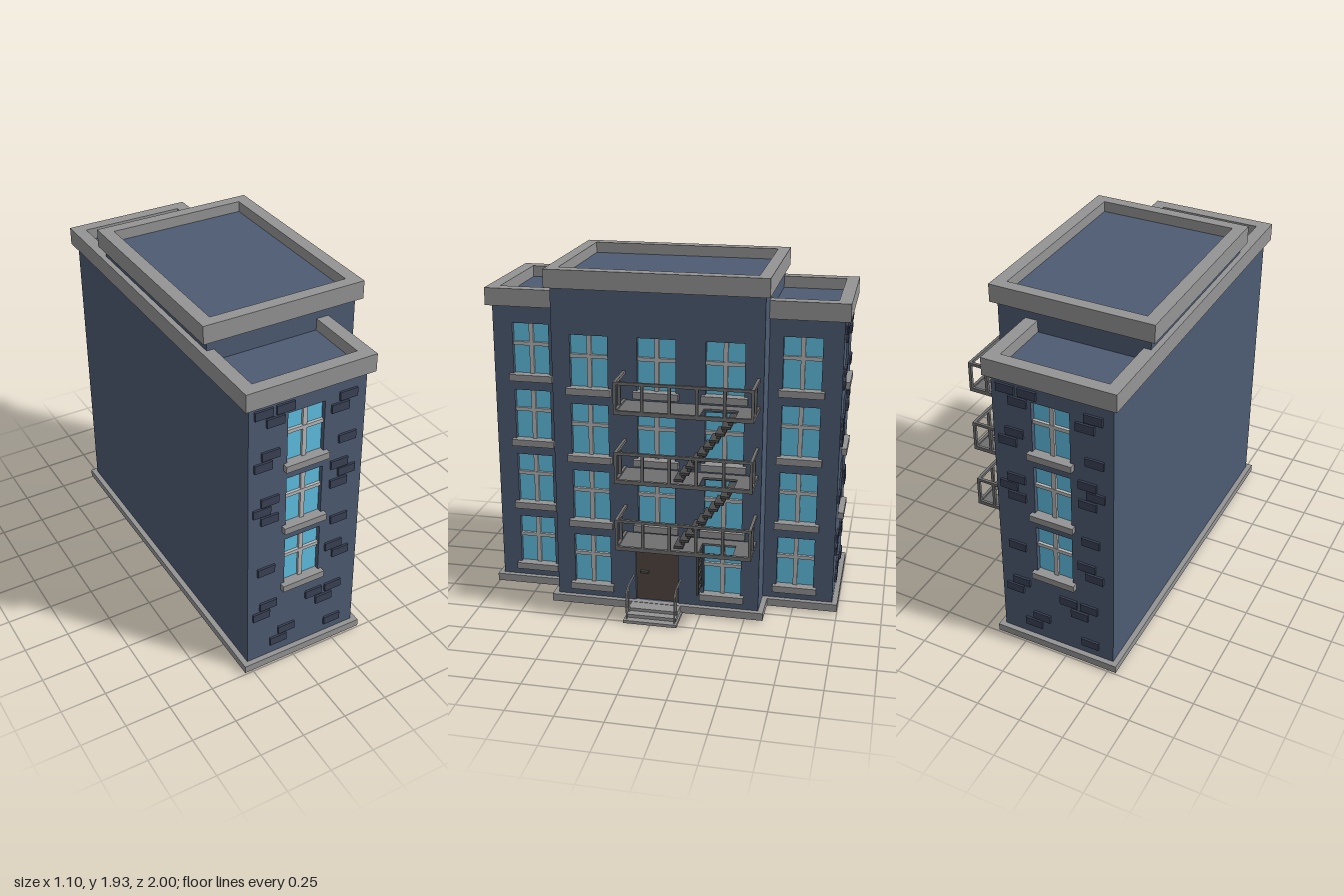
import * as THREE from 'three';

const mat = (color) => new THREE.MeshStandardMaterial({ color, flatShading: true });

export function createModel() {
  const model = new THREE.Group();
  const wall = mat(0x4d5b72), brick = mat(0x3a4256), glass = mat(0x60c0e4), door = mat(0x50453f);
  const trim = mat(0x949494), bars = mat(0xb8b8b8), iron = mat(0x707070), dark = mat(0x4c4c4c);

  const add = (parent, name, geometry, material) => {
    const mesh = new THREE.Mesh(geometry, material);
    mesh.name = name;
    parent.add(mesh);
    return mesh;
  };
  // Box given by its lower and upper limits on each axis
  const box = (parent, name, material, x0, x1, y0, y1, z0, z1) => {
    const mesh = add(parent, name, new THREE.BoxGeometry(x1 - x0, y1 - y0, z1 - z0), material);
    mesh.position.set((x0 + x1) / 2, (y0 + y1) / 2, (z0 + z1) / 2);
  };
  const outline = (path, points) => path.setFromPoints(points.map(([a, b]) => new THREE.Vector2(a, b)));
  const rect = (x0, x1, y0, y1) => [[x0, y0], [x1, y0], [x1, y1], [x0, y1]];
  // Horizontal slab with an opening, both outlines as [x, -z] points
  const ring = (parent, name, material, outer, inner, y0, y1) => {
    const shape = outline(new THREE.Shape(), outer);
    shape.holes.push(outline(new THREE.Path(), inner));
    const geo = new THREE.ExtrudeGeometry(shape, { depth: y1 - y0, bevelEnabled: false });
    geo.rotateX(-Math.PI / 2).translate(0, y0, 0);
    add(parent, name, geo, material);
  };
  // Round bar between two points
  const rod = (parent, name, a, b, r, material) => {
    const p = new THREE.Vector3(...a), q = new THREE.Vector3(...b);
    add(parent, name, new THREE.TubeGeometry(new THREE.LineCurve3(p, q), 1, r, 6), material);
  };

  // Facade: pierced wall layer, recessed glass, glazing bars and sills
  const RECESS = 0.03, W = 0.104, H = 0.293, BASE = 0.014;
  const MAIN_TOP = 1.835, WING_TOP = 1.682;
  const rowY = (row) => 0.134 + 0.385 * row;
  function facade(name, u0, u1, top, windows, doorway) {
    const group = new THREE.Group();
    group.name = name;
    const shape = outline(new THREE.Shape(), rect(u0, u1, BASE, top));
    for (const [u, row] of windows) {
      const y = rowY(row);
      shape.holes.push(outline(new THREE.Path(), rect(u - W, u + W, y, y + H)));
      box(group, 'windowGlass', glass, u - W, u + W, y, y + H, -0.034, -0.026);
      box(group, 'windowUpright', bars, u - 0.012, u + 0.012, y, y + H, -0.026, -0.012);
      box(group, 'windowCrossbar', bars, u - W, u + W, y + 0.165, y + 0.185, -0.026, -0.01);
      box(group, 'windowSill', trim, u - 0.124, u + 0.124, y - 0.035, y + 0.003, -0.026, 0.03);
    }
    if (doorway) {
      shape.holes.push(outline(new THREE.Path(), rect(-0.12, 0.12, 0.055, 0.435)));
      box(group, 'door', door, -0.12, 0.12, 0.05, 0.435, -0.034, -0.015);
      box(group, 'doorHandle', dark, -0.095, -0.05, 0.222, 0.234, -0.015, 0.004);
    }
    const layer = new THREE.ExtrudeGeometry(shape, { depth: RECESS, bevelEnabled: false });
    add(group, 'facadeWall', layer, wall).position.z = -RECESS;
    model.add(group);
    return group;
  }

  // Hollow shell: back wall, roofs, plinth and main roof rim
  box(model, 'backWall', wall, -0.52, -0.505, BASE, MAIN_TOP, -0.575, 0.575);
  box(model, 'mainRoof', wall, -0.52, 0.33, MAIN_TOP, 1.875, -0.575, 0.575);
  ring(model, 'mainParapet', trim, rect(-0.55, 0.363, -0.6, 0.6), rect(-0.48, 0.293, -0.535, 0.535), MAIN_TOP, 1.935);
  // Ground plan grown by d on every side
  const plan = (d) => [
    [-0.52 - d, -0.97 - d], [0.14 + d, -0.97 - d], [0.14 + d, -0.575 - d], [0.33 + d, -0.575 - d],
    [0.33 + d, 0.575 + d], [0.14 + d, 0.575 + d], [0.14 + d, 0.97 + d], [-0.52 - d, 0.97 + d],
  ];
  ring(model, 'plinth', trim, plan(0.03), plan(-0.005), 0.012, 0.055);
  box(model, 'backBand', trim, -0.55, -0.51, WING_TOP, 1.78, -0.575, 0.575);

  const mainWindows = [[0, 1], [0, 2], [0, 3]];
  for (let row = 0; row < 4; row++) mainWindows.push([-0.37, row], [0.37, row]);
  const mainFace = facade('mainFacade', -0.575, 0.575, MAIN_TOP, mainWindows, true);
  mainFace.rotation.y = Math.PI / 2;
  mainFace.position.x = 0.33;

  // Raised brick positions on an end wall (x, y)
  const bricks = [
    [-0.44, 1.625], [-0.32, 1.625], [-0.375, 1.565], [0.035, 1.585], [-0.01, 1.525], [-0.4, 1.38],
    [-0.44, 1.32], [0.04, 1.333], [0, 1.185], [0.045, 1.13], [0, 1.067], [-0.4, 1.1], [-0.445, 1.045],
    [-0.4, 0.985], [0.015, 0.83], [-0.415, 0.655], [-0.01, 0.66], [0.035, 0.6], [-0.4, 0.415],
    [-0.44, 0.355], [-0.12, 0.375], [0, 0.375], [-0.055, 0.31], [-0.285, 0.2], [-0.335, 0.14], [0.005, 0.13],
  ];

  // Two lower wings
  for (const s of [1, -1]) {
    const zBox = (name, m, x0, x1, y0, y1, a, b) =>
      box(model, name, m, x0, x1, y0, y1, Math.min(a * s, b * s), Math.max(a * s, b * s));
    zBox('mainSideWall', wall, 0.11, 0.30, BASE, MAIN_TOP, 0.56, 0.575);
    zBox('mainUpperSideWall', wall, -0.505, 0.11, WING_TOP, MAIN_TOP, 0.56, 0.575);
    zBox('wingBackWall', wall, -0.52, -0.505, BASE, WING_TOP, 0.575, 0.94);
    zBox('wingRoof', wall, -0.52, 0.14, WING_TOP, 1.715, 0.575, 0.97);
    zBox('wingParapetEnd', trim, -0.55, 0.172, WING_TOP, 1.78, 0.93, 1);
    zBox('wingParapetBack', trim, -0.55, -0.48, WING_TOP, 1.78, 0.575, 0.93);
    zBox('wingParapetSide', trim, 0.102, 0.172, WING_TOP, 1.78, 0.575, 0.93);

    const sideWindows = [0, 1, 2, 3].map((row) => [-0.755 * s, row]);
    const [n, f] = [-0.575 * s, -0.94 * s];
    const side = facade('wingSideFacade', Math.min(n, f), Math.max(n, f), WING_TOP, sideWindows);
    side.rotation.y = Math.PI / 2;
    side.position.x = 0.14;

    // End wall, centred on its own middle so both ends match when turned
    const end = facade('wingEndFacade', -0.33, 0.33, WING_TOP, [1, 2, 3].map((row) => [-0.009, row]));
    for (const [x, y] of bricks)
      box(end, 'raisedBrick', brick, x + 0.14, x + 0.24, y - 0.024, y + 0.024, -0.042, 0.012);
    end.rotation.y = s > 0 ? 0 : Math.PI;
    end.position.set(-0.19, 0, 0.97 * s);
  }

  // Balconies of the fire escape
  const zA = -0.557, zB = 0.182, outer = 0.55, t = 0.016;
  for (let i = 0; i < 3; i++) {
    const y = 0.453 + 0.385 * i, top = y + 0.178;
    const balcony = new THREE.Group();
    balcony.name = 'balcony';
    model.add(balcony);
    ring(balcony, 'balconyFloor', iron, rect(0.33, outer - t, t - zB, -zA - t), rect(0.395, 0.515, 0.27, 0.455), y + 0.003, y + 0.014);
    for (const [b, h] of [[y, 0.022], [top - t, t]]) {
      box(balcony, 'longRail', iron, outer - t, outer, b, b + h, zA, zB);
      box(balcony, 'endRail', iron, 0.33, outer - t, b, b + h, zA, zA + t);
      box(balcony, 'endRail', iron, 0.33, outer - t, b, b + h, zB - t, zB);
    }
    for (let k = 0; k < 6; k++) {
      const z = zA + (zB - t - zA) * k / 5;
      box(balcony, 'railPost', iron, outer - t, outer, y + 0.02, top - t, z, z + t);
    }
    for (const z of [zA, zB - t])
      box(balcony, 'endPost', iron, 0.435, 0.435 + t, y + 0.02, top - t, z, z + t);

    // Stairs to the next balcony: treads on a stepped central spine
    if (i < 2) {
      const steps = 10, rise = 0.385 / steps;
      for (let k = 0; k < steps; k++) {
        const z = -0.148 - 0.031 * k, ty = y + 0.024 + rise * k;
        box(balcony, 'stairTread', dark, 0.4, 0.515, ty, ty + 0.014, z - 0.035, z + 0.014);
        box(balcony, 'stairSpine', dark, 0.43, 0.485, ty - rise + 0.014, ty, z - 0.01, z + 0.01);
      }
    }
  }

  // Ladder under the lowest balcony
  for (const x of [0.4, 0.503])
    box(model, 'ladderRail', dark, x, x + 0.012, 0.21, 0.46, -0.272, -0.258);
  for (let k = 0; k < 6; k++)
    box(model, 'ladderRung', dark, 0.41, 0.505, 0.222 + k * 0.045, 0.231 + k * 0.045, -0.27, -0.26);

  // Entrance steps with handrails
  box(model, 'entranceLanding', trim, 0.33, 0.435, 0, 0.053, -0.14, 0.14);
  box(model, 'entranceStep', trim, 0.435, 0.48, 0, 0.036, -0.14, 0.14);
  box(model, 'entranceStep', trim, 0.33, 0.52, 0, 0.017, -0.15, 0.15);
  for (const z of [-0.135, 0.135]) {
    rod(model, 'handrail', [0.33, 0.2, z], [0.45, 0.2, z], 0.005, bars);
    rod(model, 'handrail', [0.45, 0.2, z], [0.512, 0.172, z], 0.005, bars);
    rod(model, 'handrailPost', [0.445, 0.03, z], [0.445, 0.2, z], 0.005, bars);
    rod(model, 'handrailPost', [0.5, 0.015, z], [0.5, 0.176, z], 0.005, bars);
  }
  return model;
}
